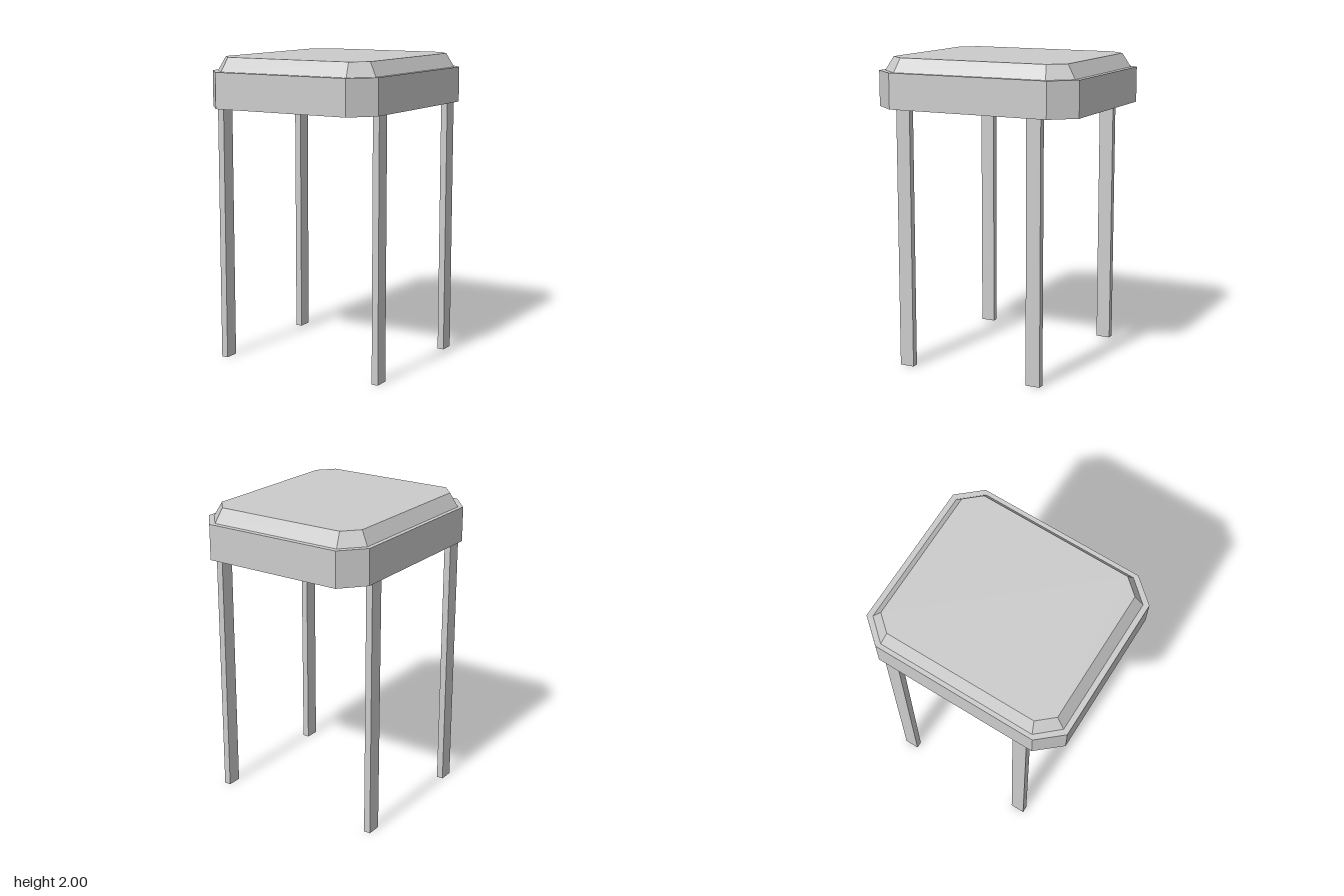
import * as THREE from 'three';

const material = new THREE.MeshStandardMaterial({ color: 0xcccccc, flatShading: true, side: THREE.DoubleSide });

// Rectangle with cut corners: half sizes hx, hz; straight edges end at ex, ez
const octagon = (hx, hz, ex, ez, y) => [
  [hx, ez], [hx, -ez], [ex, -hz], [-ex, -hz], [-hx, -ez], [-hx, ez], [-ex, hz], [ex, hz],
].map(([x, z]) => [x, y, z]);

const rectangle = (hx, hz, y) => [[hx, y, hz], [hx, y, -hz], [-hx, y, -hz], [-hx, y, hz]];

// Skin a list of rings running upwards on the outside, optionally closing the last one
function loft(name, rings, cap) {
  const pos = [];
  const tri = (...pts) => pts.forEach((p) => pos.push(...p));
  for (let r = 0; r < rings.length - 1; r++) {
    const a = rings[r], b = rings[r + 1], n = a.length;
    for (let i = 0; i < n; i++) {
      const j = (i + 1) % n;
      tri(a[i], a[j], b[j]);
      tri(a[i], b[j], b[i]);
    }
  }
  if (cap) {
    const top = rings[rings.length - 1];
    for (let i = 1; i < top.length - 1; i++) tri(top[0], top[i], top[i + 1]);
  }
  const geometry = new THREE.BufferGeometry();
  geometry.setAttribute('position', new THREE.Float32BufferAttribute(pos, 3));
  geometry.computeVertexNormals();
  const mesh = new THREE.Mesh(geometry, material);
  mesh.name = name;
  return mesh;
}

export function createModel() {
  const group = new THREE.Group();
  group.name = 'stool';

  // Seat frame: inner wall down to the bottom rim, outer wall, ledge on top
  const seam = octagon(0.58, 0.663, 0.457, 0.525, 1.91);
  group.add(loft('seatFrame', [
    seam,
    octagon(0.53, 0.61, 0.44, 0.505, 1.68),
    octagon(0.608, 0.698, 0.474, 0.544, 1.68),
    octagon(0.608, 0.698, 0.474, 0.544, 1.91),
    seam,
  ], false));

  // Bevelled seat panel, hollow below
  group.add(loft('seatPanel', [seam, octagon(0.53, 0.608, 0.44, 0.505, 2)], true));

  // Thin hollow legs, open at the foot
  for (const x of [-0.58, 0.57]) {
    for (const z of [-0.453, 0.455]) {
      const leg = loft((z > 0 ? 'front' : 'back') + (x > 0 ? 'Left' : 'Right') + 'Leg',
        [rectangle(0.022, 0.048, 0), rectangle(0.022, 0.048, 1.68)], true);
      leg.position.set(x, 0, z);
      group.add(leg);
    }
  }
  return group;
}
